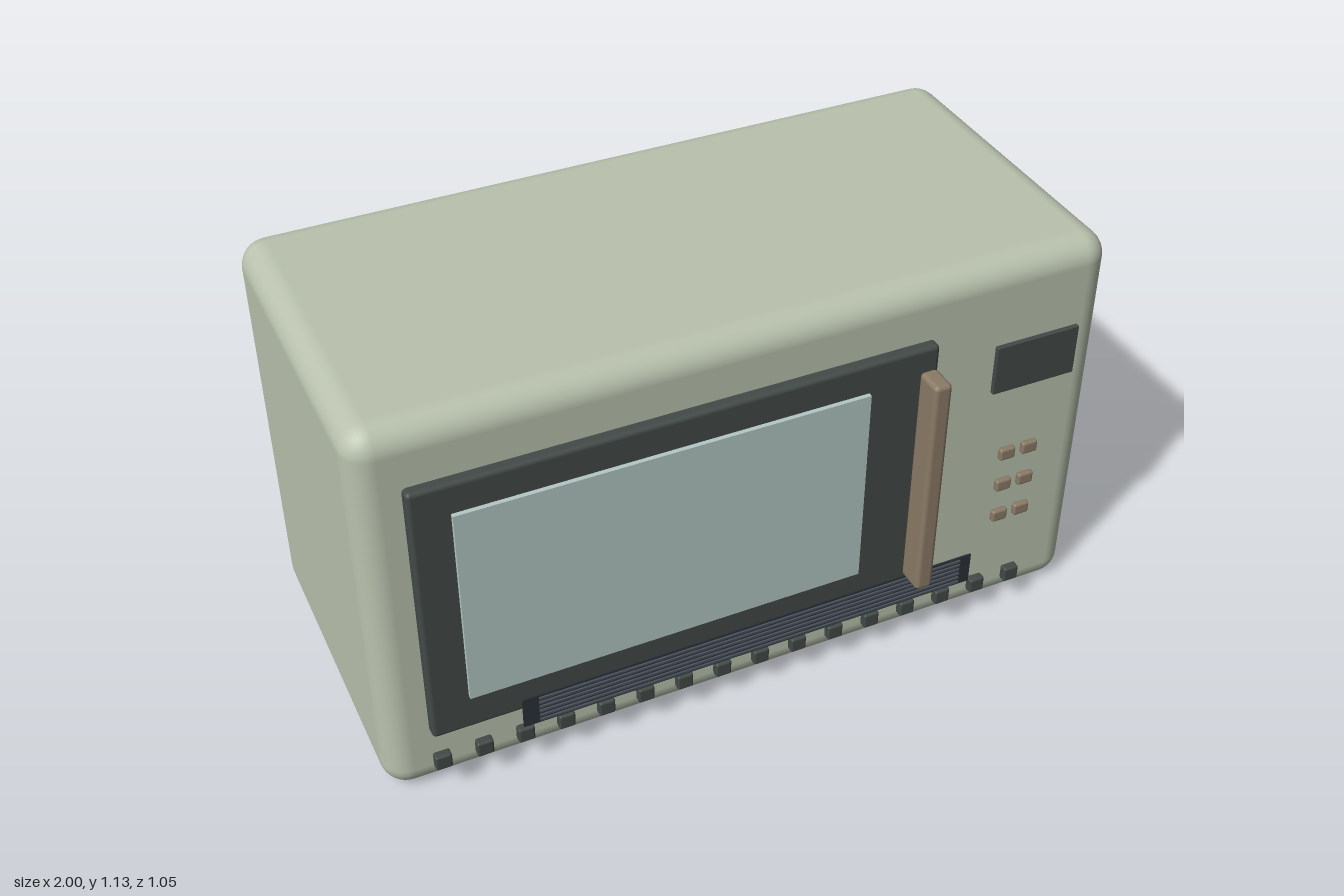
import * as THREE from 'three';
import { RoundedBoxGeometry } from 'three/addons/geometries/RoundedBoxGeometry.js';

const paint = (color) => new THREE.MeshStandardMaterial({ color });
const shell = paint(0xb9c2ae);
const dark = paint(0x434a48);
const black = paint(0x2b3036);
const slate = paint(0x4a525c);
const tan = paint(0x8b7b66);
const glass = paint(0xb4c8c4);

// Box given by its limits on each axis; r > 0 rounds the edges
function block(parent, name, material, [x0, x1], [y0, y1], [z0, z1], r = 0, seg = 2) {
  const size = [x1 - x0, y1 - y0, z1 - z0];
  const geometry = r > 0
    ? new RoundedBoxGeometry(...size, seg, r)
    : new THREE.BoxGeometry(...size);
  const mesh = new THREE.Mesh(geometry, material);
  mesh.name = name;
  mesh.position.set((x0 + x1) / 2, (y0 + y1) / 2, (z0 + z1) / 2);
  parent.add(mesh);
  return mesh;
}

function subgroup(parent, name) {
  const group = new THREE.Group();
  group.name = name;
  parent.add(group);
  return group;
}

export function createModel() {
  const oven = new THREE.Group();
  oven.name = 'microwaveOven';

  // Cabinet
  block(oven, 'cabinet', shell, [-0.998, 0.998], [0, 1.13], [-0.525, 0.41], 0.07, 4);

  // Door with window and handle
  const door = subgroup(oven, 'door');
  block(door, 'doorPanel', dark, [-0.88, 0.49], [0.19, 0.968], [0.39, 0.44], 0.012);
  block(door, 'window', glass, [-0.78, 0.295], [0.3, 0.883], [0.437, 0.452]);
  block(door, 'handle', tan, [0.43, 0.48], [0.245, 0.91], [0.445, 0.526], 0.013);

  // Control panel: display and two columns of buttons
  const controls = subgroup(oven, 'controls');
  block(controls, 'display', dark, [0.655, 0.895], [0.768, 0.912], [0.434, 0.448], 0.003);
  for (const y of [0.565, 0.46, 0.355]) {
    for (const x of [0.717, 0.784]) {
      block(controls, 'button', tan, [x - 0.023, x + 0.023], [y - 0.018, y + 0.018], [0.443, 0.462], 0.007);
    }
  }

  // Vent strip: thin backing plate with raised slats
  const vent = subgroup(oven, 'vent');
  block(vent, 'ventPlate', black, [-0.65, 0.642], [0.147, 0.241], [0.451, 0.456]);
  for (let i = 0; i < 6; i++) {
    const y = 0.158 + i * 0.0148;
    block(vent, 'slat', slate, [-0.607, 0.607], [y - 0.003, y + 0.003], [0.455, 0.461]);
  }

  // Row of small knobs along the bottom edge
  const knobs = subgroup(oven, 'knobs');
  for (let i = 0; i < 16; i++) {
    const x = -0.863 + i * 0.1098;
    block(knobs, 'knob', dark, [x - 0.022, x + 0.022], [0.093, 0.138], [0.431, 0.457], 0.006);
  }

  // Screws on the left side
  const screws = subgroup(oven, 'screws');
  const screwGeometry = new THREE.CylinderGeometry(0.005, 0.005, 0.006, 12).rotateZ(Math.PI / 2);
  for (const y of [0.172, 0.963]) {
    for (const z of [0.222, -0.338]) {
      const screw = new THREE.Mesh(screwGeometry, dark);
      screw.name = 'screw';
      screw.position.set(0.998, y, z);
      screws.add(screw);
    }
  }
  return oven;
}
